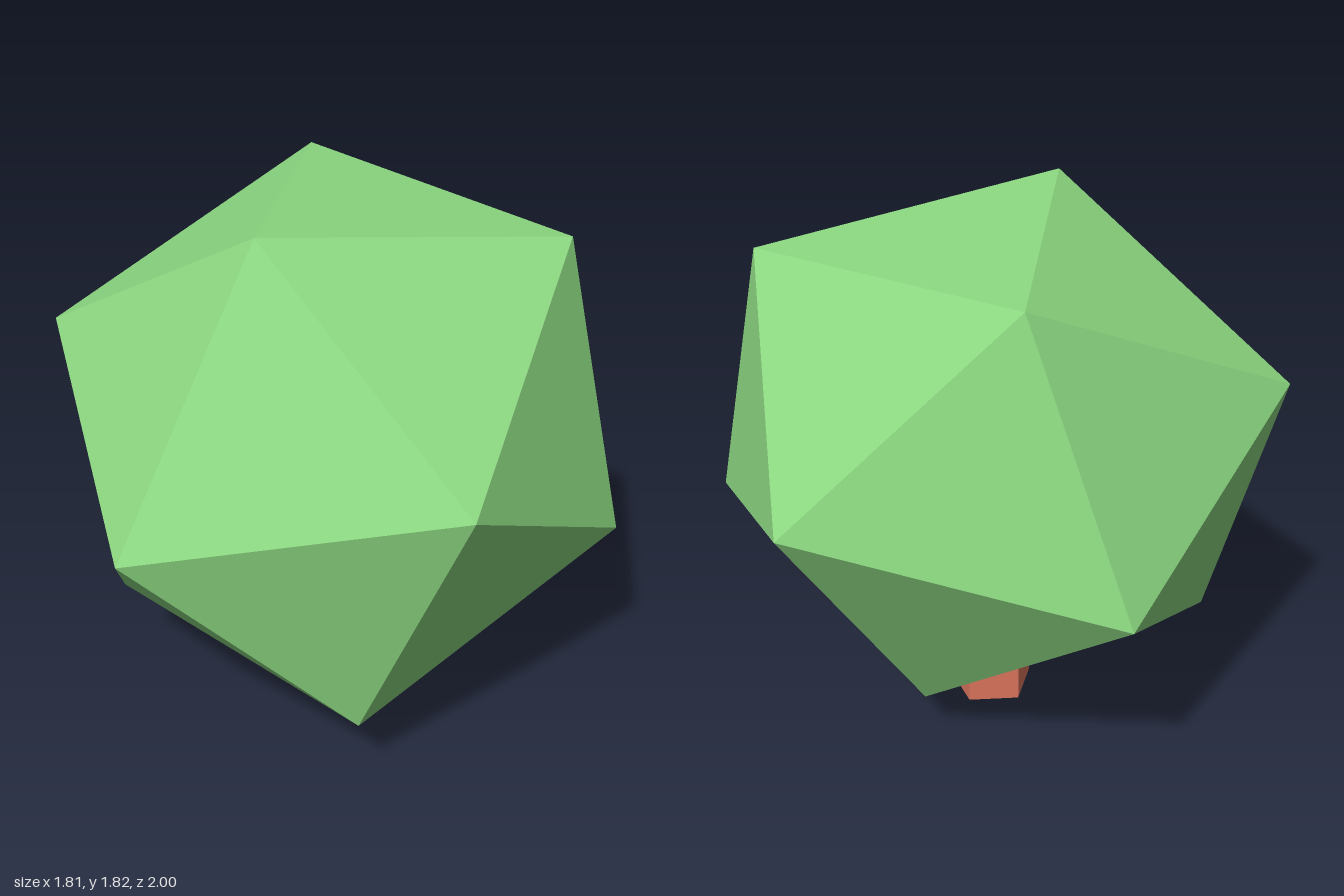
import * as THREE from 'three';
import { ConvexGeometry } from 'three/addons/geometries/ConvexGeometry.js';

const CROWN_Y = 1.0075;

function addPart(group, name, geometry, color) {
  const material = new THREE.MeshStandardMaterial({ color, flatShading: true });
  const mesh = new THREE.Mesh(geometry, material);
  mesh.name = name;
  group.add(mesh);
  return mesh;
}

export function createModel() {
  const tree = new THREE.Group();
  tree.name = 'tree';

  // Crown: a tilted, slightly squashed icosahedron, from six corners and their opposites
  const corners = [
    [0, 0.812, 0.428],
    [-0.435, 0.742, -0.528],
    [0.635, 0.673, -0.398],
    [0.825, 0.178, 0.545],
    [-0.905, 0.287, 0.335],
    [-0.125, -0.063, 0.998],
  ].map((p) => new THREE.Vector3(...p));
  const points = corners.flatMap((p) => [p, p.clone().negate()]);
  addPart(tree, 'crown', new ConvexGeometry(points), 0x8cd881).position.y = CROWN_Y;

  // Trunk: five-sided post with a flat side to the front, running up into the crown
  const height = 0.5;
  const trunk = new THREE.CylinderGeometry(0.15, 0.15, height, 5, 1, false, Math.PI);
  addPart(tree, 'trunk', trunk, 0xdb755d).position.y = height / 2;

  return tree;
}
